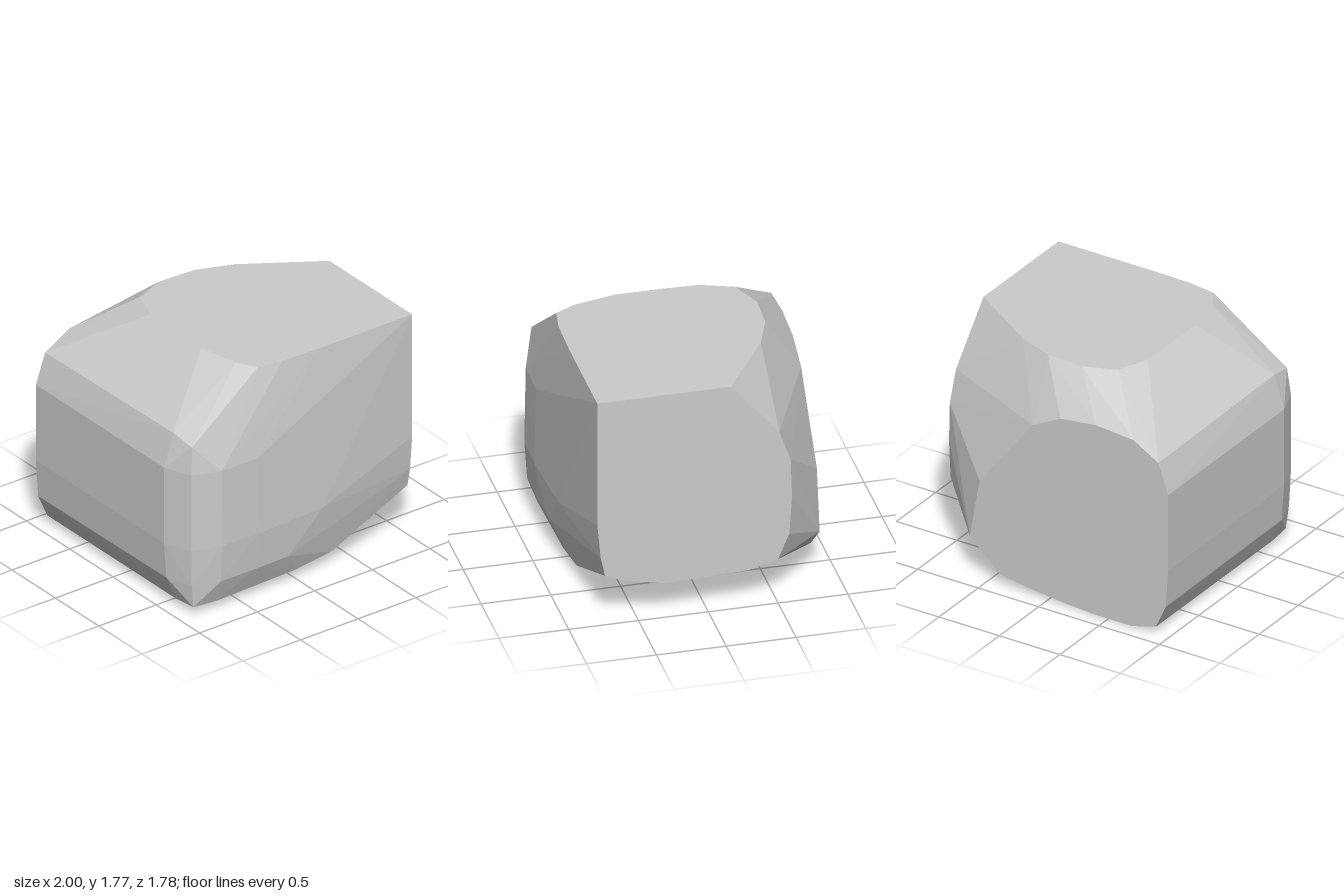
import * as THREE from 'three';
import { ConvexGeometry } from 'three/addons/geometries/ConvexGeometry.js';

export function createModel() {
  const TOP = 1.77, BACK = -0.89, SIDE = 1;
  const points = [];
  const add = (list, place) => list.forEach(([a, b]) => points.push(place(a, b)));

  // flat top outline (x, z)
  add([[1, -0.16], [0.44, -0.52], [0.17, -0.62], [-0.12, -0.635], [-0.36, -0.54], [-0.45, -0.3],
    [-0.46, 0], [-0.46, 0.3], [-0.39, 0.61], [-0.31, 0.755], [-0.12, 0.785], [0.2, 0.795], [1, 0.795]],
  (x, z) => new THREE.Vector3(x, TOP, z));

  // flat +x side outline (z, y)
  add([[-0.51, 1.36], [-0.59, 1.13], [-0.6, 0.83], [-0.58, 0.54], [-0.5, 0.35], [-0.28, 0.29],
    [0.3, 0.27], [0.6, 0.33], [0.74, 0.39], [0.77, 0.53], [0.795, 0.8]],
  (z, y) => new THREE.Vector3(SIDE, y, z));

  // flat back outline (x, y)
  add([[0.12, 1.35], [-0.11, 1.47], [-0.4, 1.505], [-0.71, 1.48], [-0.92, 1.36], [-1, 1.13], [-1, 0.53],
    [-0.98, 0.24], [-0.9, 0.06], [-0.7, 0.005], [-0.4, 0.005], [-0.16, 0.02], [0.17, 0.055],
    [0.39, 0.09], [0.64, 0.32], [0.56, 0.78]],
  (x, y) => new THREE.Vector3(x, y, BACK));

  // -x side and underside run straight forward to this section (x, y)
  add([[-0.92, 1.38], [-1, 1.13], [-1, 0.53], [-0.98, 0.25], [-0.9, 0.06], [-0.7, 0],
    [-0.4, 0.01], [0.17, 0.055], [0.39, 0.09]],
  (x, y) => new THREE.Vector3(x, y, 0.59));

  // rim of the bulging front, then the bulge itself (x, y, z)
  [[-0.9, 1.34, 0.78], [-0.92, 1.13, 0.8], [-0.92, 0.53, 0.8], [-0.91, 0.25, 0.79], [-0.89, 0.07, 0.78],
    [-0.7, 0.06, 0.79], [0, 0.075, 0.785], [0.32, 0.105, 0.77],
    [-0.71, 1.13, 0.87], [-0.4, 1.13, 0.875], [-0.71, 0.54, 0.88], [-0.4, 0.54, 0.887], [0.17, 0.54, 0.862],
    [-0.71, 0.25, 0.86], [-0.4, 0.25, 0.862], [-0.12, 0.25, 0.855]]
    .forEach((p) => points.push(new THREE.Vector3(...p)));

  const block = new THREE.Mesh(
    new ConvexGeometry(points),
    new THREE.MeshStandardMaterial({ color: 0xcccccc, flatShading: true }),
  );
  block.name = 'roundedBlock';

  const group = new THREE.Group();
  group.name = 'block';
  group.add(block);
  return group;
}
